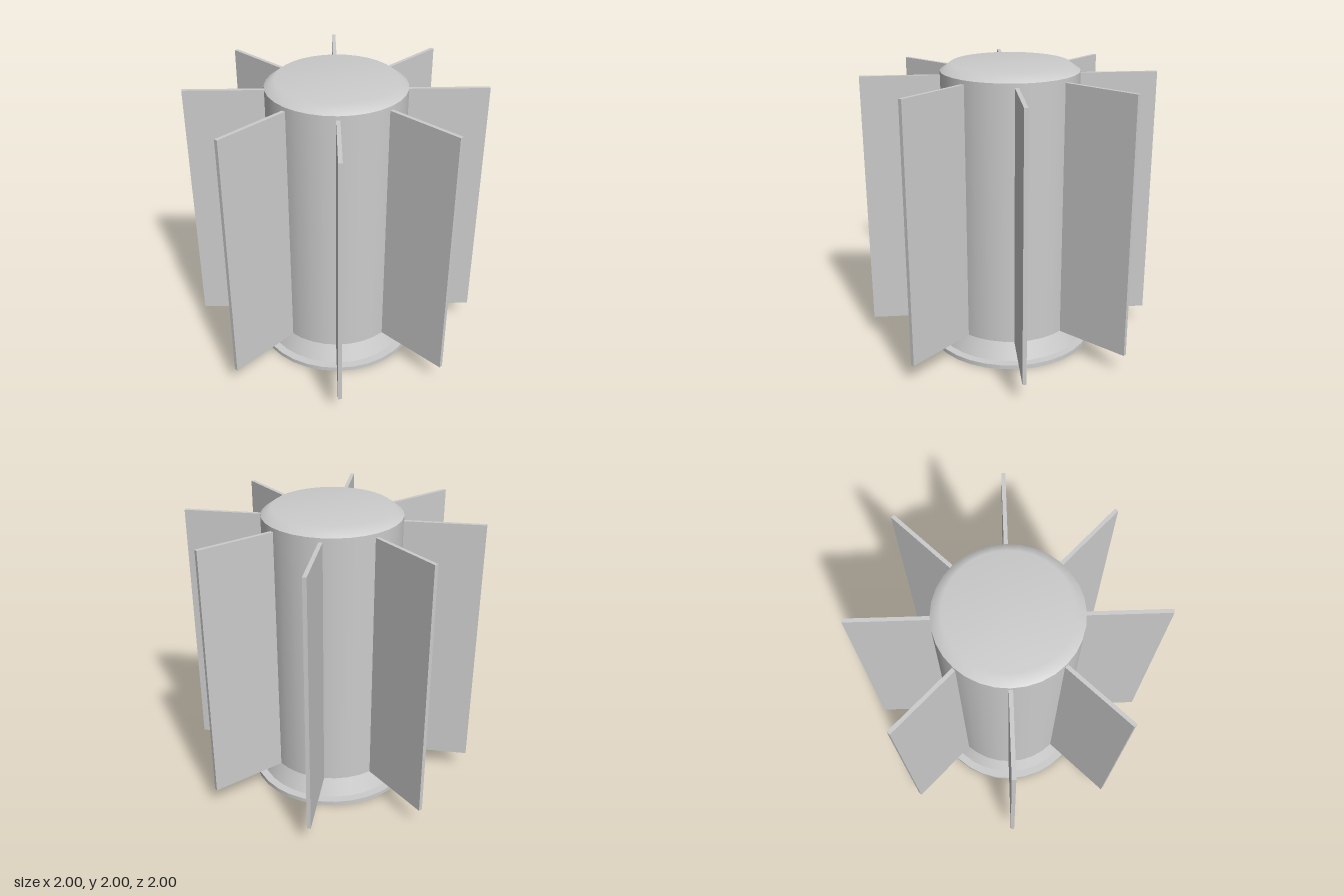
import * as THREE from 'three';

const SEGMENTS = 32;
const FIN_COUNT = 8;
const BODY_RADIUS = 0.47;

export function createModel() {
  const group = new THREE.Group();
  const metal = new THREE.MeshStandardMaterial({ color: 0xcccccc });
  metal.name = 'light grey metal';

  const add = (name, geometry, y = 0) => {
    const mesh = new THREE.Mesh(geometry, metal);
    mesh.name = name;
    mesh.position.y = y;
    group.add(mesh);
    return mesh;
  };

  // Thin round base plate and the flared foot above it
  add('basePlate', new THREE.CylinderGeometry(0.58, 0.58, 0.03, SEGMENTS), 0.015);
  add('flaredFoot', new THREE.CylinderGeometry(BODY_RADIUS, 0.525, 0.12, SEGMENTS, 1, true), 0.09);

  // Straight cylindrical body
  add('body', new THREE.CylinderGeometry(BODY_RADIUS, BODY_RADIUS, 1.8, SEGMENTS, 1, true), 1.05);

  // Bevelled cap, smooth across the bevel and the top
  const capProfile = [[BODY_RADIUS, 1.95], [0.4, 2], [0, 2]].map(([r, y]) => new THREE.Vector2(r, y));
  add('cap', new THREE.LatheGeometry(capProfile, SEGMENTS));

  // Radial fins, rooted slightly inside the body
  const inner = 0.45;
  const outer = 1;
  const finGeometry = new THREE.BoxGeometry(outer - inner, 1.775, 0.026);
  finGeometry.translate((outer + inner) / 2, 0, 0);
  for (let i = 0; i < FIN_COUNT; i++) {
    const fin = add(`fin${i + 1}`, finGeometry, 1.035);
    fin.rotation.y = (i / FIN_COUNT) * Math.PI * 2;
  }

  return group;
}
